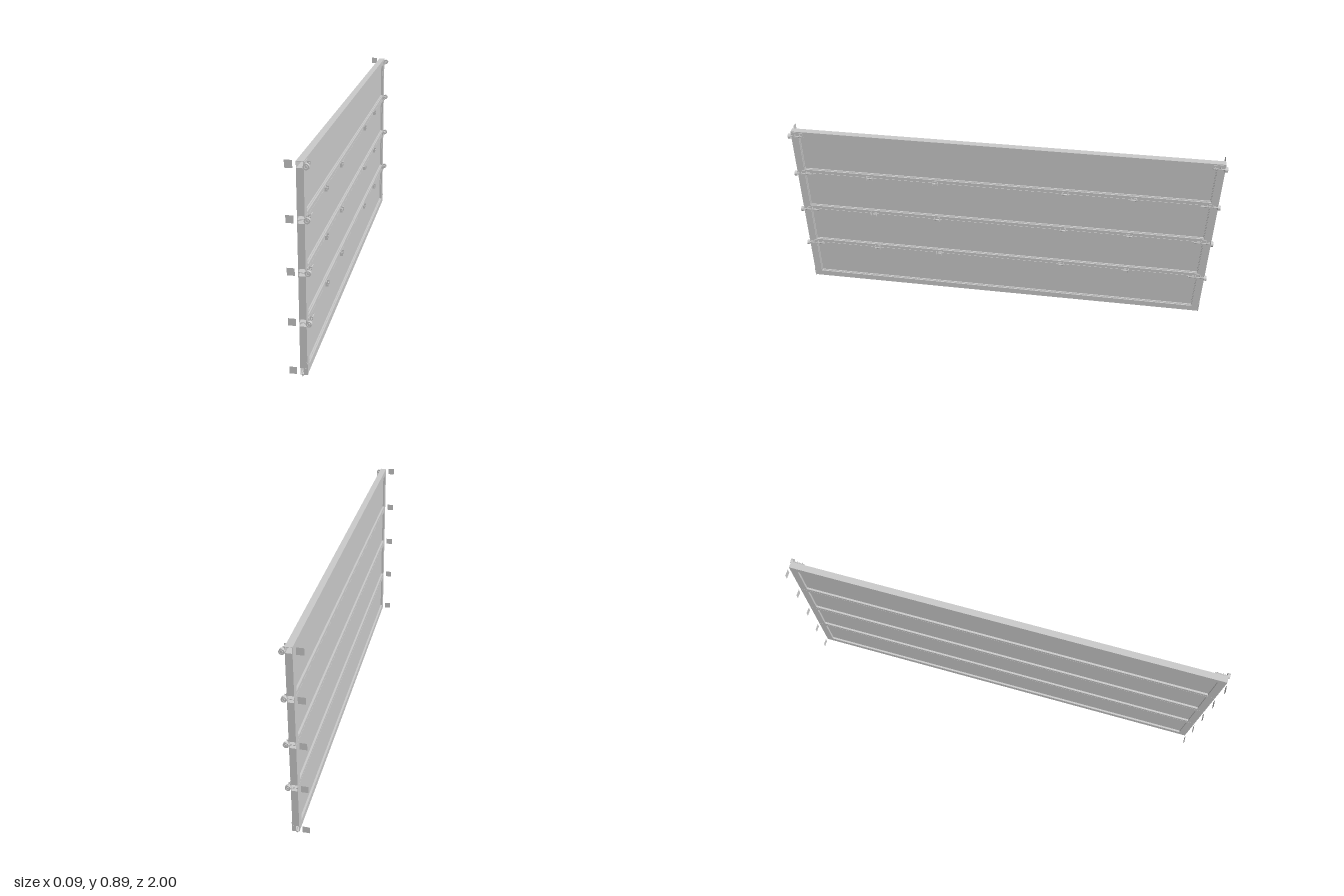
import * as THREE from 'three';

const mat = new THREE.MeshStandardMaterial({ color: 0xcccccc });
const thinMat = new THREE.MeshStandardMaterial({ color: 0xcccccc, side: THREE.DoubleSide });

const X0 = -0.005, X1 = 0.024, XM = (X0 + X1) / 2; // frame depth
const END = 0.99, STILE = 0.035;
const JOINTS = [0.235, 0.447, 0.659];
const LEVELS = [0.008, ...JOINTS, 0.885];

function add(parent, name, geo, x = 0, y = 0, z = 0, material = mat) {
  const mesh = new THREE.Mesh(geo, material);
  mesh.name = name;
  mesh.position.set(x, y, z);
  parent.add(mesh);
  return mesh;
}
const box = (w, h, d) => new THREE.BoxGeometry(w, h, d);

function rect(path, x0, y0, x1, y1) {
  path.moveTo(x0, y0);
  path.lineTo(x1, y0);
  path.lineTo(x1, y1);
  path.lineTo(x0, y1);
  path.closePath();
  return path;
}

// Hollow rail, open at both ends, running along z
function addRail(parent, y0, y1) {
  const t = 0.0015;
  const s = rect(new THREE.Shape(), X0, y0, X1, y1);
  s.holes.push(rect(new THREE.Path(), X0 + t, y0 + t, X1 - t, y1 - t));
  add(parent, 'rail', new THREE.ExtrudeGeometry(s, { depth: 2 * END, bevelEnabled: false }), 0, 0, -END);
}

// Ring-shaped roller with its axis along z
function rollerGeometry() {
  const s = new THREE.Shape().absarc(0, 0, 0.012, 0, Math.PI * 2);
  s.holes.push(new THREE.Path().absarc(0, 0, 0.007, 0, Math.PI * 2, true));
  return new THREE.ExtrudeGeometry(s, { depth: 0.012, bevelEnabled: false, curveSegments: 16 });
}

// Roller, shaft and carrier plates at one end (side = +1 or -1)
function addRoller(parent, y, side, isTop) {
  const g = new THREE.Group();
  g.name = isTop ? 'topRoller' : 'sideRoller';
  g.position.set(0.034, y, 0);
  const along = isTop ? 0.055 : 0.08;
  add(g, 'rollerRing', rollerGeometry(), 0, 0, side * 0.992 - 0.006);
  const hub = add(g, 'rollerHub', new THREE.CylinderGeometry(0.005, 0.005, 0.014, 16), 0, 0, side * 0.992);
  const shaft = add(g, 'rollerShaft', new THREE.CylinderGeometry(0.0025, 0.0025, along, 10), 0, 0, side * (0.99 - along / 2));
  hub.rotation.x = shaft.rotation.x = Math.PI / 2;
  // carrier against the rail and two ears around the shaft
  const h = isTop ? 0.024 : 0.016;
  add(g, 'carrierPlate', box(0.002, h, isTop ? 0.05 : 0.025), -0.009, 0.002, side * 0.957);
  for (const z of [0.945, 0.968]) add(g, 'carrierEar', box(0.014, 0.013, 0.002), -0.003, 0, side * z);
  parent.add(g);
}

// Hinge with two leaves, knuckle ears and a pin
function addHinge(parent, y, z) {
  const g = new THREE.Group();
  g.name = 'hinge';
  g.position.set(X1, y, z);
  for (const s of [-1, 1]) {
    add(g, 'hingeLeaf', box(0.002, 0.008, 0.022), 0.001, s * 0.005, 0);
    add(g, 'hingeEar', box(0.012, 0.018, 0.002), 0.006, 0, s * 0.013);
  }
  const pin = add(g, 'hingePin', new THREE.CylinderGeometry(0.0025, 0.0025, 0.032, 10), 0.008, 0, 0);
  pin.rotation.x = Math.PI / 2;
  parent.add(g);
}

export function createModel() {
  const door = new THREE.Group();
  door.name = 'sectionalDoor';

  // Four framed sections with recessed infill panels
  for (let i = 0; i < 4; i++) {
    const section = new THREE.Group();
    section.name = 'section' + (i + 1);
    const y0 = LEVELS[i] + (i ? 0.0007 : 0), y1 = LEVELS[i + 1] - (i < 3 ? 0.0007 : 0);
    const in0 = i ? y0 + 0.016 : 0.038, in1 = i < 3 ? y1 - 0.016 : 0.857;
    const mid = (in0 + in1) / 2, h = in1 - in0;
    addRail(section, y0, in0);
    addRail(section, in1, y1);
    for (const s of [-1, 1]) add(section, 'stile', box(X1 - X0, h, STILE), XM, mid, s * (END - STILE / 2));
    add(section, 'infillPanel', box(0.008, h, 2 * (END - STILE)), 0.008, mid, 0);

    // Slim glazing beads around the inside of the opening
    const bead = 0.003, halfZ = END - STILE;
    for (const s of [-1, 1]) {
      add(section, 'bead', box(0.006, bead, 2 * halfZ), 0.015, mid + s * (h - bead) / 2, 0);
      add(section, 'bead', box(0.006, h, bead), 0.015, mid, s * (halfZ - bead / 2));
    }
    door.add(section);
  }

  // Rollers and hinges along the section joints
  for (const y of JOINTS) {
    for (const z of [-0.61, -0.295, 0.318, 0.635]) addHinge(door, y, z);
    for (const s of [-1, 1]) addRoller(door, y, s, false);
  }

  for (const s of [-1, 1]) {
    addRoller(door, 0.866, s, true);
    // Bottom corner bracket: end plate with a sloped top
    const p = new THREE.Shape();
    p.moveTo(0.009, 0.008);
    p.lineTo(0.026, 0.008);
    p.lineTo(0.026, 0.055);
    p.lineTo(0.023, 0.063);
    p.lineTo(0.021, 0.063);
    p.lineTo(0.021, 0.038);
    p.lineTo(0.009, 0.038);
    add(door, 'bottomBracket', new THREE.ExtrudeGeometry(p, { depth: 0.004, bevelEnabled: false }), 0, 0, s * 0.989 - 0.002);

    // Thin square guide plates beside the outer face
    for (const y of [0.023, ...JOINTS, 0.872]) {
      add(door, 'guidePlate', new THREE.PlaneGeometry(0.031, 0.031), -0.0335, y, s * 0.99, thinMat);
    }
  }

  // Bottom seal with a narrow lip touching the ground
  const seal = add(door, 'bottomSeal', new THREE.CylinderGeometry(0.004, 0.004, 2 * END, 12), 0.005, 0.007, 0);
  seal.rotation.x = Math.PI / 2;
  add(door, 'sealLip', box(0.002, 0.006, 2 * END), 0.005, 0.003, 0);

  return door;
}
